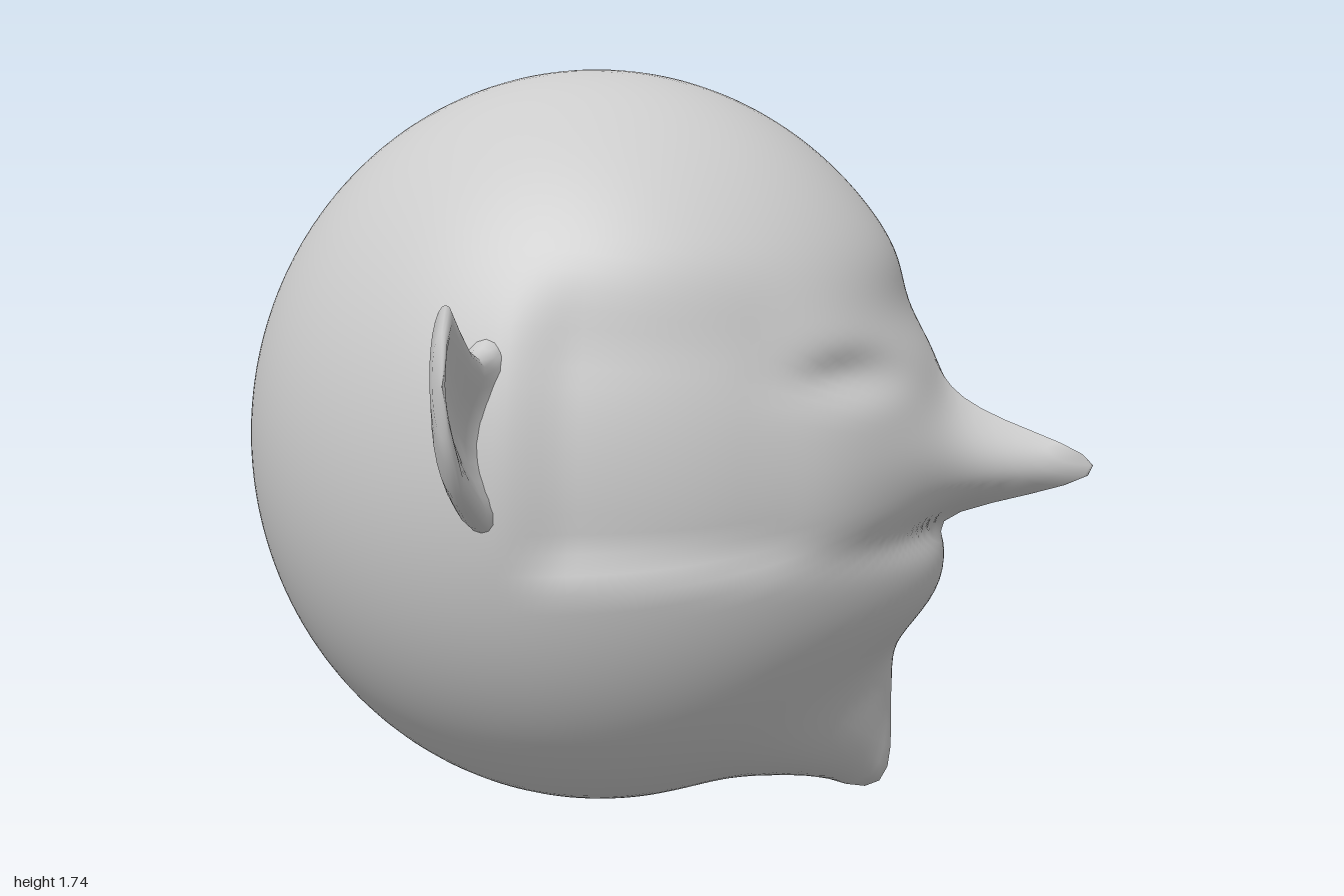
import * as THREE from 'three';
import { mergeVertices } from 'three/addons/utils/BufferGeometryUtils.js';

const material = new THREE.MeshStandardMaterial({ color: 0xcccccc, side: THREE.DoubleSide });

// Soft bump of width w around c
const bump = (v, c, w) => Math.exp(-(((v - c) / w) ** 2));

// Round head facing +x; the face is pushed out of an ellipsoid
function headGeometry() {
  let geo = new THREE.SphereGeometry(1, 128, 112);
  geo.deleteAttribute('uv');
  geo.deleteAttribute('normal');
  geo = mergeVertices(geo, 1e-5);
  geo.rotateZ(-Math.PI / 2);
  geo.scale(0.83, 0.87, 0.785);
  geo.translate(-0.17, 0.87, 0);
  const pos = geo.attributes.position;
  for (let i = 0; i < pos.count; i++) {
    const x = pos.getX(i), y = pos.getY(i), z = pos.getZ(i), az = Math.abs(z);
    const front = THREE.MathUtils.smoothstep(x, 0, 0.35);
    let dx = 0, dy = 0;

    // forehead slope, brow ridge, groove under the nose, muzzle
    dx -= 0.03 * bump(y, 1.2, 0.1) * bump(z, 0, 0.4);
    dx += 0.03 * bump(y, 0.88, 0.1) * bump(z, 0, 0.35);
    dx -= 0.03 * bump(y, 0.71, 0.045) * bump(z, 0, 0.45);
    dx += 0.05 * bump(y, 0.55, 0.13) * bump(z, 0, 0.36);
    // eye hollows
    dx -= 0.04 * bump(y, 1.08, 0.05) * bump(az, 0.42, 0.13);
    // pointed nose
    dx += 0.31 * bump(y, 0.835, y > 0.835 ? 0.11 : 0.09) * Math.exp(-az / 0.077);
    // chin with a hooked tip
    dx += 0.09 * bump(y, 0.27, 0.1) * bump(z, 0, 0.22);
    const tip = bump(x, 0.38, 0.07) * bump(y, 0.22, 0.08) * Math.exp(-az / 0.1);
    dx += 0.07 * tip;
    dy -= 0.09 * tip;
    // jaw underside
    if (y < 0.6) dy -= 0.085 * bump(x, 0.34, 0.18) * bump(y, 0.18, 0.14) * bump(z, 0, 0.3);

    // flattened temples in front of the ears
    const S = THREE.MathUtils.smoothstep;
    const flat = S(x, -0.17, -0.02) * (1 - S(x, 0.3, 0.6)) *
      S(y, 0.67, 0.76) * (1 - S(y, 1.12, 1.35)) * S(az, 0.35, 0.6);
    pos.setXYZ(i, x + dx * front, y + dy * front, z - Math.sign(z) * 0.035 * flat);
  }
  geo.computeVertexNormals();
  return geo;
}

// Ear lofted outwards: [z, centre y, half height, half thickness, hollow]
const EAR = [
  [0.64, 0.96, 0.25, 0.11, 0], [0.71, 0.96, 0.23, 0.095, 0.3],
  [0.76, 0.97, 0.19, 0.08, 1], [0.81, 0.975, 0.17, 0.07, 1.3],
  [0.87, 1.01, 0.16, 0.06, 1.3], [0.92, 1.055, 0.165, 0.048, 1.3],
  [0.955, 1.11, 0.15, 0.036, 1.2], [0.978, 1.11, 0.1, 0.022, 0.8],
  [0.984, 1.11, 0.001, 0.001, 0],
];

function earGeometry(side) {
  const N = 28, verts = [], index = [];
  EAR.forEach(([z, cy, hy, hx, hollow], r) => {
    for (let k = 0; k < N; k++) {
      const a = (k / N) * Math.PI * 2, c = Math.cos(a);
      // front face is scooped, back stays round
      const x = hx * c * (c > 0 ? 1 - hollow * c * c : 1);
      verts.push(-0.195 + x, cy + hy * Math.sin(a), side * z);
      if (r === EAR.length - 1) continue;
      const p = r * N + k, q = r * N + (k + 1) % N;
      if (side > 0) index.push(p, q, q + N, p, q + N, p + N);
      else index.push(p, q + N, q, p, p + N, q + N);
    }
  });
  const geo = new THREE.BufferGeometry();
  geo.setAttribute('position', new THREE.Float32BufferAttribute(verts, 3));
  geo.setIndex(index);
  geo.computeVertexNormals();
  return geo;
}

export function createModel() {
  const group = new THREE.Group();
  const add = (name, geo) => {
    const mesh = new THREE.Mesh(geo, material);
    mesh.name = name;
    group.add(mesh);
  };
  add('head', headGeometry());
  add('earFront', earGeometry(1));
  add('earBack', earGeometry(-1));
  return group;
}
